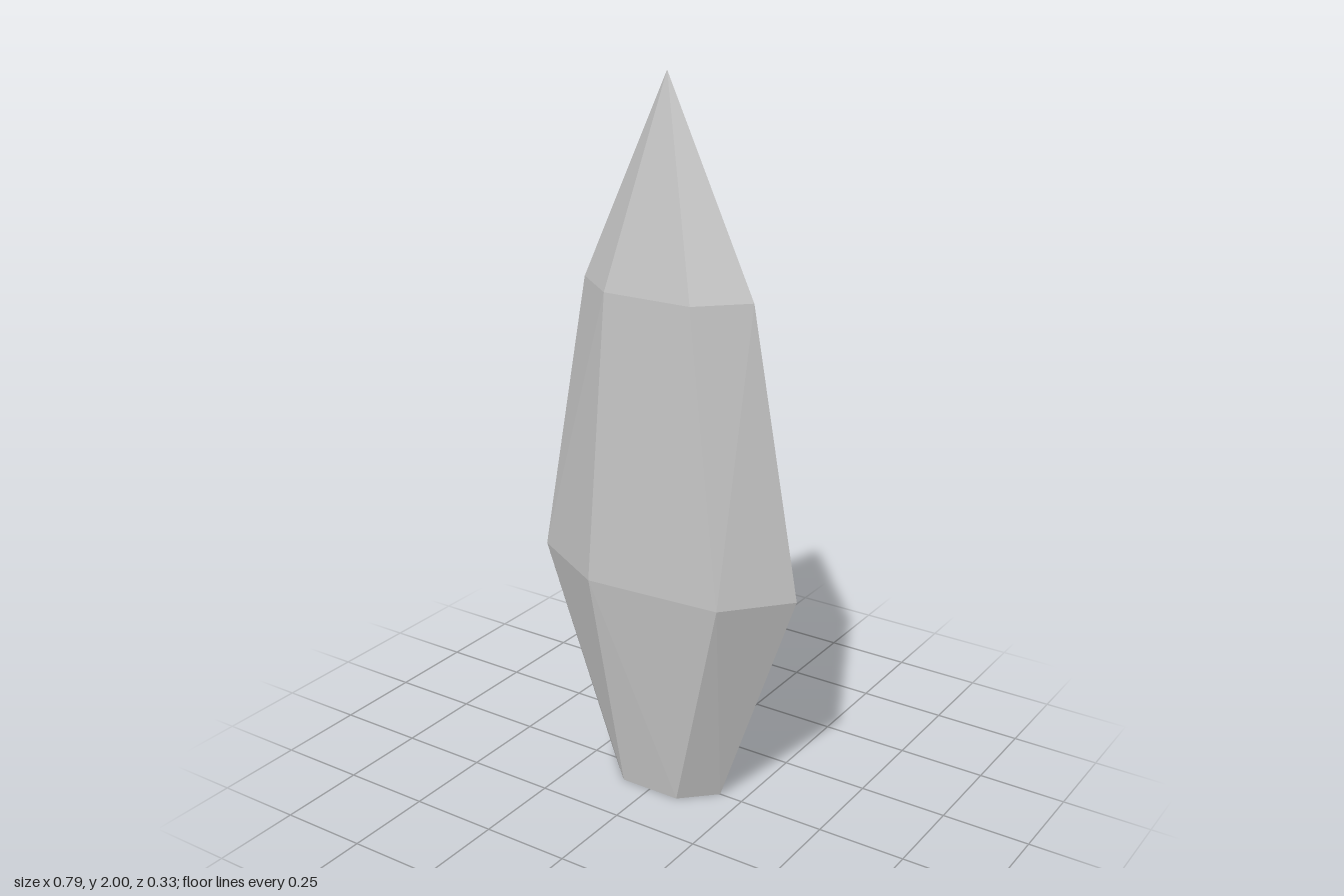
import * as THREE from 'three';

// Half a ring of corners at height y, completed by a half turn
function ring(y, half) {
  const a = half.map(([x, z]) => [x, y, z]);
  return a.concat(half.map(([x, z]) => [-x, y, -z]));
}

// One flat-shaded mesh from a list of corner points, three per face
function facetMesh(name, corners, material) {
  const geometry = new THREE.BufferGeometry();
  geometry.setAttribute('position', new THREE.Float32BufferAttribute(corners.flat(), 3));
  geometry.computeVertexNormals();
  const mesh = new THREE.Mesh(geometry, material);
  mesh.name = name;
  return mesh;
}

export function createModel() {
  const group = new THREE.Group();
  group.name = 'crystal';
  const stone = new THREE.MeshStandardMaterial({ color: 0xc4c4c4 });
  stone.name = 'grey stone';
  stone.flatShading = true;

  // Six-sided cross-sections, slightly skewed
  const foot = ring(0, [[0.18, 0], [0.09, 0.088], [-0.09, 0.088]]);
  const waist = ring(0.643, [[0.393, -0.027], [0.248, 0.14], [-0.146, 0.166]]);
  const shoulder = ring(1.442, [[0.258, -0.007], [0.14, 0.109], [-0.118, 0.115]]);
  const tip = [0, 2, 0];

  const base = [], lower = [], upper = [], point = [];
  for (let i = 0; i < 6; i++) {
    const j = (i + 1) % 6;
    if (i > 0 && i < 5) base.push(foot[0], foot[i], foot[j]);
    lower.push(foot[j], foot[i], waist[j], foot[i], waist[i], waist[j]);
    upper.push(waist[j], waist[i], shoulder[i], waist[j], shoulder[i], shoulder[j]);
    point.push(shoulder[j], shoulder[i], tip);
  }

  group.add(
    facetMesh('base', base, stone),
    facetMesh('lowerShaft', lower, stone),
    facetMesh('upperShaft', upper, stone),
    facetMesh('point', point, stone),
  );
  return group;
}
